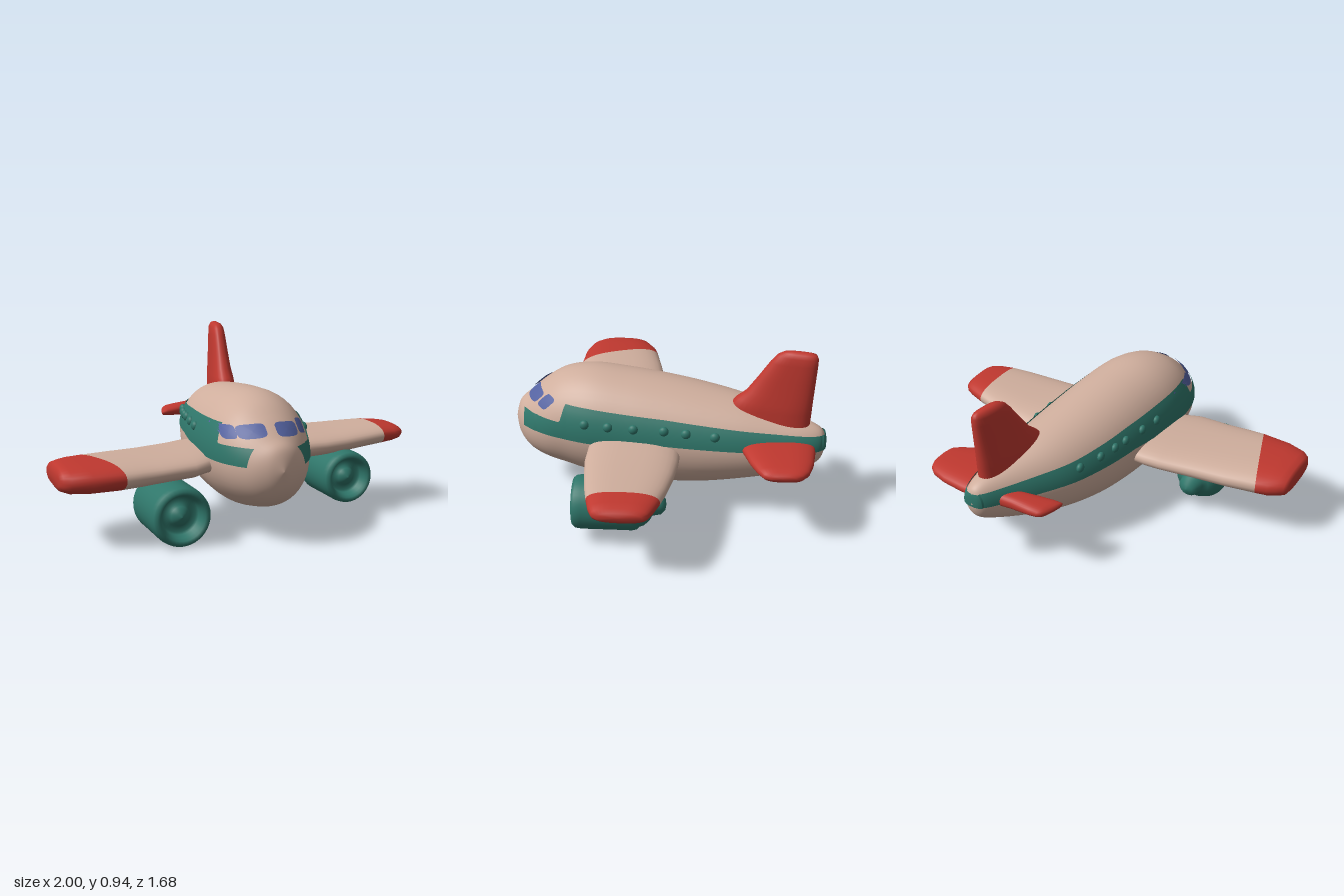
import * as THREE from 'three';

const mat = (name, color, side = THREE.FrontSide) => {
  const m = new THREE.MeshStandardMaterial({ color, side });
  m.name = name;
  return m;
};

// Smooth skin over rings of points; closed rings face outward.
function skin(rings, closed = true) {
  const n = rings[0].length, pos = [], idx = [];
  rings.forEach(r => r.forEach(p => pos.push(p.x, p.y, p.z)));
  for (let i = 0; i < rings.length - 1; i++) {
    for (let j = 0; j < (closed ? n : n - 1); j++) {
      const a = i * n + j, b = i * n + (j + 1) % n;
      idx.push(a, b, a + n, b, b + n, a + n);
    }
  }
  if (closed) {
    const all = rings.flat(), o = new THREE.Vector3();
    rings[0].forEach(p => o.addScaledVector(p, 1 / n));
    let volume = 0;
    const q = k => all[k].clone().sub(o);
    for (let k = 0; k < idx.length; k += 3) volume += q(idx[k]).dot(q(idx[k + 1]).cross(q(idx[k + 2])));
    if (volume < 0) idx.reverse();
  }
  const g = new THREE.BufferGeometry();
  g.setAttribute('position', new THREE.Float32BufferAttribute(pos, 3));
  g.setIndex(idx);
  g.computeVertexNormals();
  return g;
}

// Fuselage stations: z, right edge, left edge, bottom, top
const BODY = [
  [0.838, 0.015, 0.015, 0.385, 0.385], [0.81, -0.06, 0.1, 0.285, 0.485], [0.75, -0.135, 0.17, 0.212, 0.54],
  [0.66, -0.195, 0.235, 0.168, 0.617], [0.55, -0.228, 0.283, 0.14, 0.682], [0.4, -0.237, 0.33, 0.11, 0.712],
  [0.2, -0.218, 0.362, 0.097, 0.702], [0, -0.187, 0.383, 0.097, 0.682], [-0.2, -0.14, 0.397, 0.118, 0.655],
  [-0.4, -0.065, 0.4, 0.162, 0.622], [-0.58, 0.045, 0.39, 0.215, 0.58], [-0.72, 0.145, 0.373, 0.272, 0.548],
  [-0.8, 0.205, 0.348, 0.32, 0.52], [-0.83, 0.24, 0.315, 0.375, 0.485], [-0.838, 0.275, 0.275, 0.43, 0.43],
];

// Smoothly interpolated section at parameter t from 0 (nose) to 1 (tail)
function section(t) {
  const last = BODY.length - 1, f = Math.min(t * last, last - 1e-9), i = Math.floor(f), u = f - i;
  const row = k => BODY[Math.max(0, Math.min(last, k))];
  const [z, l, r, b, h] = BODY[0].map((_, c) => {
    const p0 = row(i - 1)[c], p1 = row(i)[c], p2 = row(i + 1)[c], p3 = row(i + 2)[c];
    return 0.5 * (2 * p1 + (p2 - p0) * u + (2 * p0 - 5 * p1 + 4 * p2 - p3) * u * u + (3 * p1 - p0 - 3 * p2 + p3) * u ** 3);
  });
  return { z, cx: (l + r) / 2, cy: (b + h) / 2, w: Math.max(0, (r - l) / 2), h: Math.max(0, (h - b) / 2) };
}

function tAt(z) {
  let a = 0, b = 1;
  for (let k = 0; k < 30; k++) {
    const m = (a + b) / 2;
    if (section(m).z > z) a = m; else b = m;
  }
  return (a + b) / 2;
}

// Point on the flank at height y, lifted slightly
function flank(t, y, side, lift) {
  const s = section(t), w = s.w + lift, h = s.h + lift;
  const v = Math.max(-1, Math.min(1, (y - s.cy) / h));
  const dz = s.z < -0.82 ? -lift : s.z > 0.7 ? lift * 0.7 : 0;
  return new THREE.Vector3(s.cx + side * w * Math.sqrt(1 - v * v), s.cy + v * h, s.z + dz);
}

// Point on the nose seen from the front at x, y
function nose(x, y) {
  let a = 0, b = 0.36;
  for (let k = 0; k < 30; k++) {
    const m = (a + b) / 2, s = section(m);
    if (((x - s.cx) / (s.w + 1e-6)) ** 2 + ((y - s.cy) / (s.h + 1e-6)) ** 2 > 1) a = m; else b = m;
  }
  return new THREE.Vector3(x * 1.02, y + 0.004, section(b).z + 0.006);
}

const lerpTable = (table, z) => {
  let i = 0;
  while (i < table.length - 2 && z < table[i + 1][0]) i++;
  const [z0, a] = table[i], [z1, b] = table[i + 1];
  return a + (b - a) * Math.max(0, Math.min(1, (z - z0) / (z1 - z0)));
};
const stripeTop = [[0.77, 0.49], [0.56, 0.49], [0.53, 0.585], [0.4, 0.583], [0, 0.56], [-0.4, 0.525], [-0.84, 0.49]];
const stripeLow = [[0.77, 0.4], [0.4, 0.4], [0, 0.43], [-0.4, 0.42], [-0.84, 0.412]];

const spow = (v, e) => Math.sign(v) * Math.abs(v) ** e;

// Rounded aerofoil rings. Station: span, back z, front z, low, high, skew of the span along the chord
function foil(stations, place) {
  return stations.map(([s, zb, zf, lo, hi, skew = 0]) => Array.from({ length: 32 }, (_, j) => {
    const a = j / 32 * Math.PI * 2, c = spow(Math.cos(a), 0.75), d = spow(Math.sin(a), 0.85);
    return place(s + skew * c, (lo + hi) / 2 + d * (hi - lo) / 2, (zb + zf) / 2 + c * (zf - zb) / 2);
  }));
}
const flat = (s, d, z) => new THREE.Vector3(s, d, z);

export function createModel() {
  const cream = mat('cream', 0xcfae9d), red = mat('red', 0xbf382f);
  const teal = mat('teal', 0x2f766a, THREE.DoubleSide), blue = mat('blue', 0x5462a0, THREE.DoubleSide);
  const model = new THREE.Group();
  model.name = 'toyAirplane';
  const add = (name, geometry, material) => {
    const m = new THREE.Mesh(geometry, material);
    m.name = name;
    model.add(m);
    return m;
  };

  // Fuselage
  add('fuselage', skin(Array.from({ length: 85 }, (_, i) => {
    const s = section(i / 84);
    return Array.from({ length: 48 }, (_, j) => {
      const a = j / 48 * Math.PI * 2;
      return new THREE.Vector3(s.cx + s.w * Math.cos(a), s.cy + s.h * Math.sin(a), s.z);
    });
  })), cream);

  // Side stripes meeting at the tail, with domed portholes
  const ports = { 1: [0.42, 0.295, 0.16, 0, -0.115, -0.265], [-1]: [0.2, 0.08, -0.05, -0.13, -0.23, -0.36] };
  for (const side of [1, -1]) {
    const label = side > 0 ? 'left' : 'right', t0 = tAt(side > 0 ? 0.77 : 0.745);
    add(label + 'Stripe', skin(Array.from({ length: 161 }, (_, i) => {
      const t = t0 + (1 - t0) * i / 160, z = section(t).z;
      const lo = lerpTable(stripeLow, z), hi = lerpTable(stripeTop, z);
      return Array.from({ length: 9 }, (_, j) => flank(t, lo + (hi - lo) * j / 8, side, 0.006));
    }), false), teal);
    for (const z of ports[side]) {
      const y = (lerpTable(stripeLow, z) + lerpTable(stripeTop, z)) / 2 + 0.012;
      const p = add(label + 'Porthole', new THREE.SphereGeometry(0.026, 16, 12), teal);
      p.position.copy(flank(tAt(z), y, side, 0.004));
      p.scale.x = 0.75;
    }
  }

  // Cockpit windows: centre x, y, half width, half height, slant
  for (const [x, y, w, h, k] of [[-0.177, 0.547, 0.025, 0.029, 0.25], [-0.09, 0.56, 0.062, 0.03, 0.15],
    [0.083, 0.564, 0.064, 0.031, -0.08], [0.184, 0.56, 0.027, 0.032, -0.3]]) {
    const rings = [0, 0.25, 0.5, 0.75, 1].map(r => Array.from({ length: 33 }, (_, j) => {
      const a = j / 32 * Math.PI * 2;
      const u = r * w * spow(Math.cos(a), 0.5), v = r * h * spow(Math.sin(a), 0.5);
      return nose(x + u, y + v + k * u);
    }));
    add('cockpitWindow', skin(rings, false), blue);
  }

  // Wings, split where the tip colour begins
  const wing = (name, stations, cut) => {
    const rings = foil(stations, flat);
    add(name, skin(rings.slice(0, cut + 1)), cream);
    add(name + 'Tip', skin(rings.slice(cut)), red);
  };
  wing('rightWing', [
    [-0.1, 0, 0.46, 0.3, 0.42], [-0.24, 0, 0.5, 0.295, 0.42], [-0.32, 0.015, 0.54, 0.288, 0.415],
    [-0.5, 0.055, 0.556, 0.28, 0.412], [-0.64, 0.085, 0.57, 0.274, 0.414, 0.04], [-0.77, 0.123, 0.577, 0.27, 0.416, 0.08],
    [-0.88, 0.14, 0.572, 0.268, 0.415, 0.03], [-0.95, 0.165, 0.545, 0.272, 0.41], [-0.985, 0.185, 0.515, 0.283, 0.402],
    [-1, 0.215, 0.48, 0.305, 0.385], [-1, 0.35, 0.35, 0.345, 0.345],
  ], 5);
  wing('leftWing', [
    [0.22, -0.08, 0.39, 0.3, 0.44], [0.34, -0.085, 0.4, 0.298, 0.442], [0.47, -0.083, 0.402, 0.306, 0.438],
    [0.6, -0.068, 0.388, 0.315, 0.438], [0.75, -0.042, 0.365, 0.328, 0.443], [0.85, -0.018, 0.345, 0.335, 0.446],
    [0.93, 0.008, 0.325, 0.342, 0.44], [0.975, 0.028, 0.305, 0.35, 0.433], [0.998, 0.055, 0.28, 0.368, 0.42],
    [1, 0.165, 0.165, 0.394, 0.394],
  ], 5);

  // Tailplanes
  add('leftTailplane', skin(foil([
    [0.26, -0.78, -0.4, 0.385, 0.478], [0.4, -0.782, -0.408, 0.385, 0.476], [0.52, -0.768, -0.45, 0.387, 0.47],
    [0.6, -0.745, -0.488, 0.392, 0.464], [0.64, -0.715, -0.515, 0.4, 0.457], [0.657, -0.68, -0.55, 0.415, 0.445],
    [0.658, -0.61, -0.61, 0.43, 0.43],
  ], flat)), red);
  add('rightTailplane', skin(foil([
    [0.22, -0.76, -0.66, 0.385, 0.47], [0.1, -0.75, -0.637, 0.39, 0.465], [0, -0.745, -0.608, 0.392, 0.455],
    [-0.06, -0.738, -0.592, 0.396, 0.448, -0.015], [-0.085, -0.728, -0.588, 0.402, 0.44, -0.022],
    [-0.096, -0.7, -0.6, 0.41, 0.43, -0.015], [-0.098, -0.65, -0.65, 0.42, 0.42],
  ], flat)), red);

  // Tail fin, following the yaw of the body
  add('tailFin', skin(foil([
    [0.5, -0.75, -0.31, -0.07, 0.07], [0.6, -0.757, -0.33, -0.068, 0.068], [0.645, -0.759, -0.37, -0.064, 0.064],
    [0.69, -0.762, -0.42, -0.058, 0.058], [0.78, -0.768, -0.48, -0.05, 0.05], [0.87, -0.774, -0.537, -0.043, 0.043],
    [0.91, -0.775, -0.568, -0.038, 0.038], [0.93, -0.765, -0.6, -0.027, 0.027], [0.937, -0.74, -0.64, -0.012, 0.012],
    [0.938, -0.69, -0.69, 0, 0],
  ], (s, d, z) => new THREE.Vector3(0.28 - 0.17 * (z + 0.78) * -1 - 0.17 * (z + 0.78) * 2 + d, s, z))), red);

  // Engines: nozzle, shell, rim, intake and spinner in one turned profile
  const profile = [[0, -0.48], [0.03, -0.474], [0.052, -0.452], [0.06, -0.41], [0.085, -0.395], [0.11, -0.37],
    [0.12, -0.345], [0.132, -0.335], [0.139, -0.31], [0.139, -0.2], [0.14, -0.05], [0.136, -0.018], [0.123, -0.002],
    [0.108, -0.006], [0.098, -0.025], [0.09, -0.055], [0.08, -0.065], [0.055, -0.065], [0.045, -0.045], [0.025, -0.025],
    [0, -0.018]].map(p => new THREE.Vector2(...p));
  for (const [name, x, y, z, k] of [['leftEngine', 0.585, 0.207, 0.45, 1], ['rightEngine', -0.435, 0.153, 0.66, 1.08]]) {
    const engine = add(name, new THREE.LatheGeometry(profile, 40).rotateX(Math.PI / 2), teal);
    engine.position.set(x, y, z);
    engine.scale.setScalar(k);
  }
  return model;
}
